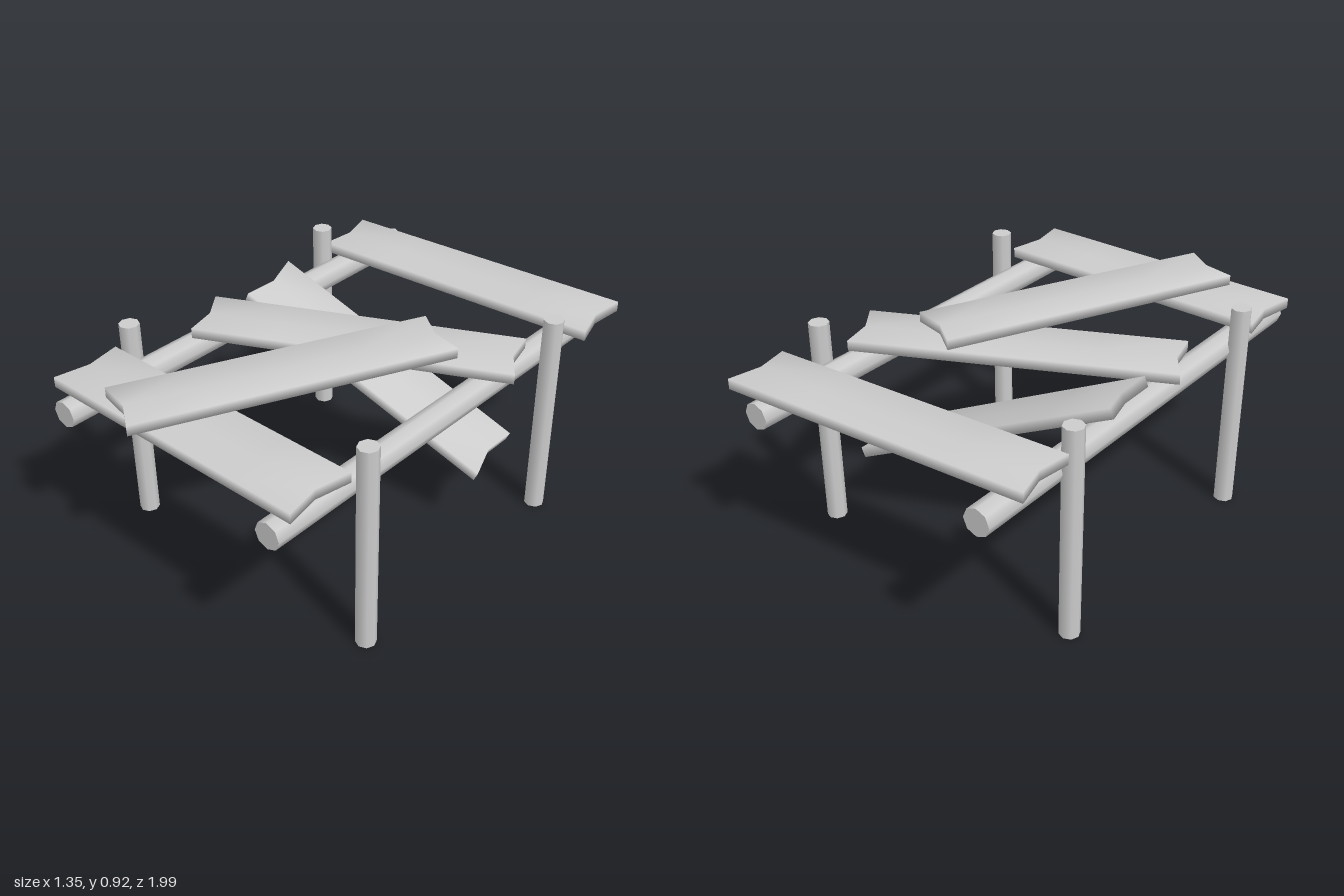
import * as THREE from 'three';
import { mergeVertices } from 'three/addons/utils/BufferGeometryUtils.js';

const material = new THREE.MeshStandardMaterial({ color: 0xcccccc });

// Round pole standing on y = 0, centred on its own axis
function pole(name, radius, length) {
  const mesh = new THREE.Mesh(new THREE.CylinderGeometry(radius, radius, length, 8), material);
  mesh.name = name;
  return mesh;
}

// Worn plank: a box stretched between four corners (x, y, z of its mid-thickness),
// in the order back left, back right, front right, front left, with notched ends
function plank(name, corners, thickness = 0.044, notch = 0.028) {
  const [a, b, c, d] = corners.map((p) => new THREE.Vector3(...p));
  const along = b.clone().sub(a).normalize();
  const across = d.clone().sub(a).normalize();
  const up = across.clone().cross(along).normalize();
  let geo = new THREE.BoxGeometry(1, 1, 1, 4, 1, 2);
  geo.deleteAttribute('uv');
  geo.deleteAttribute('normal');
  geo = mergeVertices(geo);
  const pos = geo.attributes.position;
  for (let i = 0; i < pos.count; i++) {
    const u = pos.getX(i) + 0.5;
    const v = pos.getZ(i) + 0.5;
    const p = a.clone().lerp(b, u).lerp(d.clone().lerp(c, u), v);
    // pull the middle of each end inwards
    const inset = notch * (1 - (2 * v - 1) ** 2);
    if (u < 0.01) p.addScaledVector(along, inset);
    if (u > 0.99) p.addScaledVector(along, -inset);
    p.addScaledVector(up, pos.getY(i) * thickness);
    pos.setXYZ(i, p.x, p.y, p.z);
  }
  geo.computeVertexNormals();
  const mesh = new THREE.Mesh(geo, material);
  mesh.name = name;
  return mesh;
}

export function createModel() {
  const model = new THREE.Group();
  model.name = 'brokenPlatform';

  // Four upright posts
  for (const x of [-0.635, 0.602]) {
    for (const z of [-0.57, 0.56]) {
      const post = pole('post', 0.042, 0.916);
      post.position.set(x, 0.458, z);
      model.add(post);
    }
  }

  // Two rails running front to back
  for (const x of [-0.561, 0.508]) {
    const rail = pole('rail', 0.056, 1.965);
    rail.rotation.x = Math.PI / 2;
    rail.position.set(x, 0.724, -0.017);
    model.add(rail);
  }

  // Planks lying across the rails
  model.add(plank('frontPlank', [
    [-0.66, 0.805, 0.62], [0.578, 0.805, 0.62], [0.574, 0.805, 0.92], [-0.662, 0.805, 0.92]]));
  model.add(plank('backPlank', [
    [-0.67, 0.808, -0.89], [0.65, 0.812, -0.995], [0.67, 0.802, -0.71], [-0.645, 0.802, -0.61]]));
  model.add(plank('diagonalPlank', [
    [-0.655, 0.807, 0.08], [0.525, 0.807, -0.5], [0.645, 0.807, -0.25], [-0.535, 0.807, 0.33]]));

  // Plank that has dropped off one rail
  model.add(plank('fallenPlank', [
    [-0.62, 0.835, -0.32], [0.48, 0.325, -0.505], [0.53, 0.302, -0.21], [-0.57, 0.815, -0.02]]));

  // Loose plank resting on top of the others
  model.add(plank('loosePlank', [
    [-0.402, 0.852, 0.88], [0.16, 0.852, -0.315], [0.41, 0.852, -0.2], [-0.152, 0.852, 0.99]]));

  return model;
}
